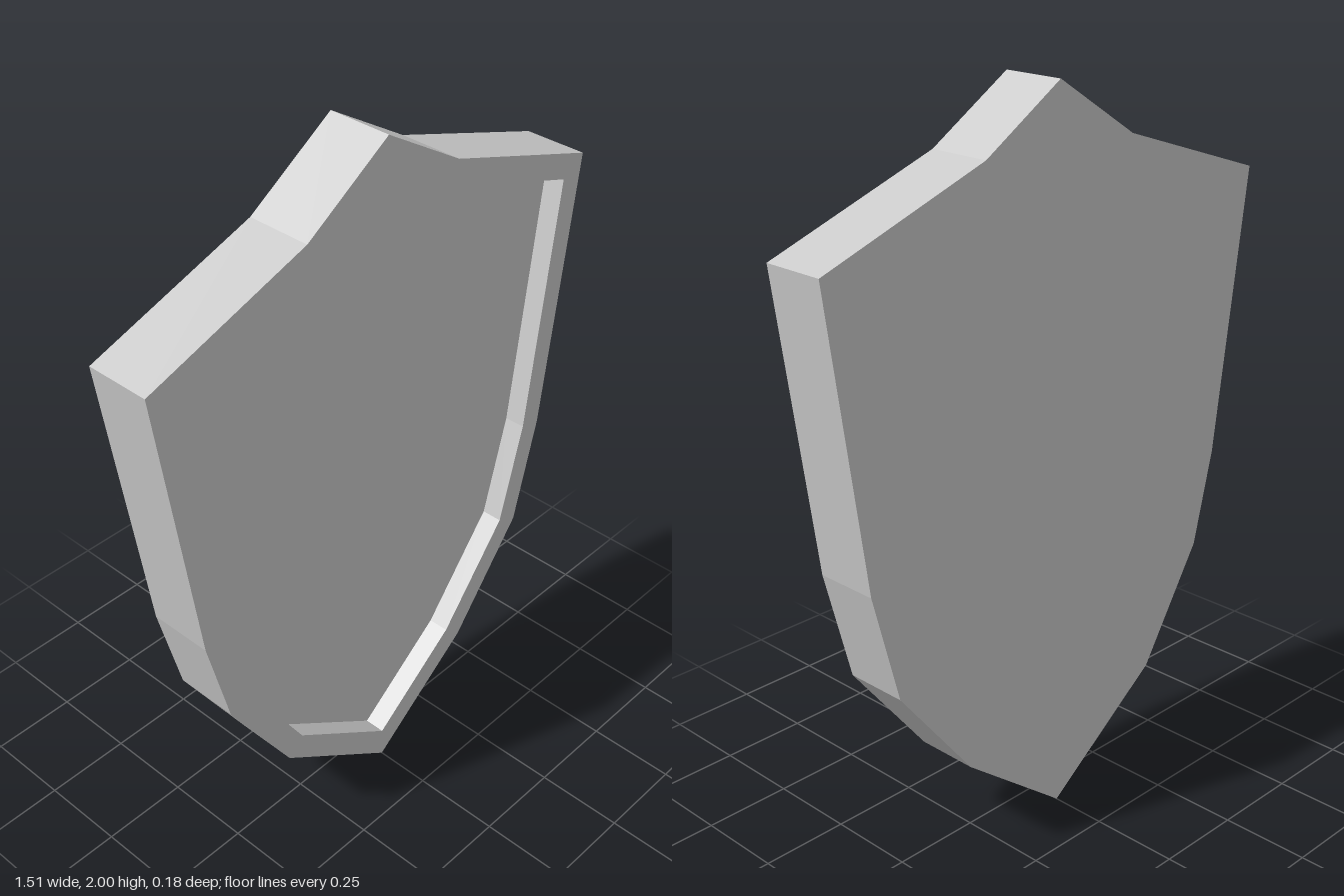
import * as THREE from 'three';

const BACK = -0.09, FLOOR = 0.03, FRONT = 0.09;

// Outlines run clockwise from the top point
const outer = [
  [0, 2], [0.25, 1.845], [0.755, 1.67], [0.645, 0.865], [0.565, 0.555], [0.33, 0.255],
  [0, 0], [-0.375, 0.275], [-0.575, 0.595], [-0.642, 0.865], [-0.755, 1.67], [-0.265, 1.832],
];
const inner = [
  [0, 1.917], [0.22, 1.78], [0.68, 1.622], [0.58, 0.88], [0.5, 0.585], [0.275, 0.305],
  [0, 0.092], [-0.325, 0.325], [-0.51, 0.625], [-0.575, 0.88], [-0.68, 1.622], [-0.235, 1.77],
];

const toPoints = (outline) => outline.map(([x, y]) => new THREE.Vector2(x, y));

// Flat-faced band along a closed outline; a clockwise outline faces outward
function wall(outline, z0, z1) {
  const positions = [];
  outline.forEach(([ax, ay], i) => {
    const [bx, by] = outline[(i + 1) % outline.length];
    positions.push(ax, ay, z1, bx, by, z1, bx, by, z0);
    positions.push(ax, ay, z1, bx, by, z0, ax, ay, z0);
  });
  const geometry = new THREE.BufferGeometry();
  geometry.setAttribute('position', new THREE.Float32BufferAttribute(positions, 3));
  geometry.computeVertexNormals();
  return geometry;
}

export function createModel() {
  const shield = new THREE.Group();
  shield.name = 'shield';
  const material = new THREE.MeshStandardMaterial({ color: 0xcccccc, flatShading: true });

  const add = (name, geometry) => {
    const mesh = new THREE.Mesh(geometry, material);
    mesh.name = name;
    shield.add(mesh);
  };

  // Raised border on the front
  const rim = new THREE.Shape(toPoints(outer));
  rim.holes.push(new THREE.Path(toPoints(inner)));
  add('rimFace', new THREE.ShapeGeometry(rim).translate(0, 0, FRONT));

  // Outer edge and the step down into the recess
  add('outerEdge', wall(outer, BACK, FRONT));
  add('recessEdge', wall([...inner].reverse(), FLOOR, FRONT));

  // Sunken front panel
  const panel = new THREE.Shape(toPoints(inner));
  add('frontPanel', new THREE.ShapeGeometry(panel).translate(0, 0, FLOOR));

  // Flat back, mirrored first so that the half turn restores the outline
  const back = new THREE.Shape(toPoints(outer.map(([x, y]) => [-x, y])));
  add('backFace', new THREE.ShapeGeometry(back).rotateY(Math.PI).translate(0, 0, BACK));

  return shield;
}
